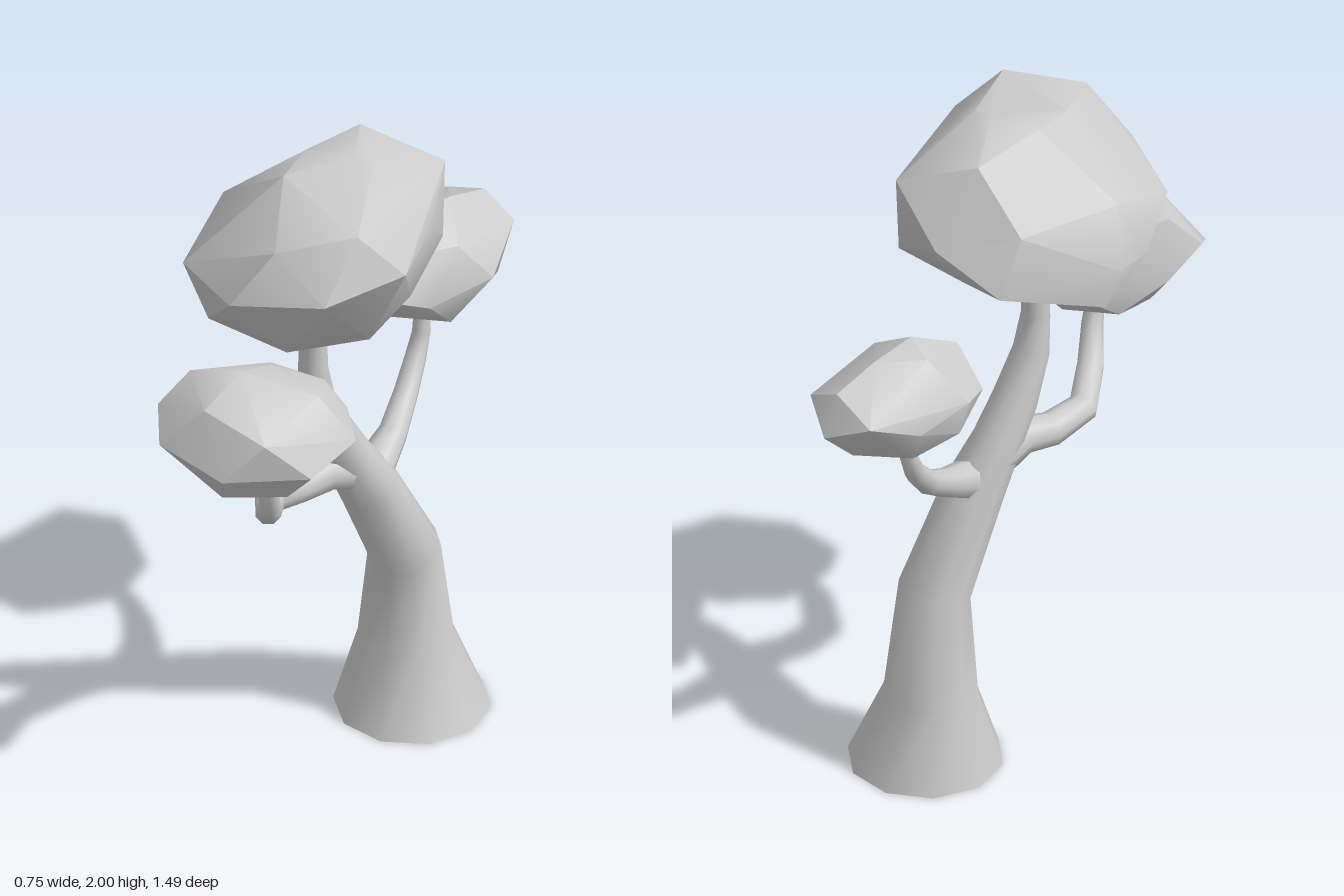
import * as THREE from 'three';
import { ConvexGeometry } from 'three/addons/geometries/ConvexGeometry.js';
import { toCreasedNormals } from 'three/addons/utils/BufferGeometryUtils.js';

const material = new THREE.MeshStandardMaterial({ color: 0xcccccc });
const barkMaterial = new THREE.MeshStandardMaterial({ color: 0xcccccc, side: THREE.DoubleSide });

// Open tapering limb: each station is [x, y, z, radius]; rings stand square to the path.
function limb(name, stations, sides, flatStart = false) {
  const centres = stations.map(([x, y, z]) => new THREE.Vector3(x, y, z));
  const positions = [], indices = [];
  stations.forEach(([, , , r], i) => {
    const t = centres[Math.min(i + 1, centres.length - 1)].clone()
      .sub(centres[Math.max(i - 1, 0)]).normalize();
    if (flatStart && i === 0) t.set(0, 1, 0);
    const u = new THREE.Vector3(1, 0, 0).addScaledVector(t, -t.x).normalize();
    const v = new THREE.Vector3().crossVectors(u, t);
    for (let j = 0; j < sides; j++) {
      const a = (j / sides) * Math.PI * 2;
      const p = centres[i].clone().addScaledVector(u, r * Math.cos(a)).addScaledVector(v, r * Math.sin(a));
      positions.push(p.x, p.y, p.z);
      if (i > 0) {
        const k = (j + 1) % sides, lo = (i - 1) * sides, hi = i * sides;
        indices.push(lo + j, hi + j, lo + k, lo + k, hi + j, hi + k);
      }
    }
  });
  const geometry = new THREE.BufferGeometry();
  geometry.setAttribute('position', new THREE.Float32BufferAttribute(positions, 3));
  geometry.setIndex(indices);
  geometry.computeVertexNormals();
  const mesh = new THREE.Mesh(geometry, barkMaterial);
  mesh.name = name;
  return mesh;
}

// Faceted leaf clump: the hull of a few corner points, with only sharp edges creased.
function clump(name, points) {
  const hull = new ConvexGeometry(points.map((p) => new THREE.Vector3(...p)));
  const mesh = new THREE.Mesh(toCreasedNormals(hull, 0.62), material);
  mesh.name = name;
  return mesh;
}

export function createModel() {
  const tree = new THREE.Group();
  tree.name = 'tree';

  // Leaning trunk, flared and open at the foot
  tree.add(limb('trunk', [
    [0.015, 0, -0.242, 0.222], [-0.007, 0.235, -0.24, 0.135], [0.018, 0.54, -0.205, 0.104],
    [0.012, 0.82, -0.06, 0.088], [0, 0.95, 0.015, 0.072], [-0.005, 1.06, 0.075, 0.066],
    [-0.005, 1.2, 0.138, 0.053], [-0.01, 1.32, 0.15, 0.042], [-0.01, 1.5, 0.148, 0.037],
  ], 10, true));

  // Branches
  tree.add(limb('frontBranch', [
    [0, 0.91, -0.01, 0.075], [-0.01, 0.935, 0.1, 0.056], [-0.03, 0.925, 0.19, 0.05],
    [-0.03, 0.945, 0.31, 0.045], [0.06, 0.995, 0.42, 0.039], [0.125, 1.07, 0.485, 0.031],
    [0.125, 1.2, 0.505, 0.025],
  ], 8));
  tree.add(limb('backBranch', [
    [0.01, 0.83, -0.04, 0.07], [0, 0.875, -0.12, 0.055], [-0.02, 0.91, -0.2, 0.043],
    [-0.06, 0.975, -0.3, 0.036], [-0.085, 1.05, -0.37, 0.031], [-0.09, 1.12, -0.4, 0.026],
    [-0.09, 1.21, -0.405, 0.023],
  ], 8));

  // Leaf clumps
  tree.add(clump('crown', [
    [0.37, 1.81, 0.19], [0.02, 1.73, 0.54], [0.27, 1.63, 0.055], [0.27, 1.94, 0.28],
    [0.27, 1.77, 0.42], [0.11, 1.9, 0.45], [-0.11, 1.6, 0.48], [-0.24, 1.71, 0.44],
    [-0.375, 1.64, 0.14], [-0.36, 1.53, 0.1], [-0.33, 1.62, 0.28], [-0.3, 1.8, 0.2],
    [0, 1.44, 0.25], [0.05, 1.44, 0.08], [-0.1, 1.45, 0.2], [0.2, 1.5, 0.15],
    [-0.08, 1.75, -0.29], [0.13, 1.87, -0.25], [0.14, 1.63, -0.23], [-0.25, 1.63, -0.2],
    [0.26, 1.8, -0.04], [-0.25, 1.8, -0.12], [0, 1.52, -0.1], [-0.08, 1.96, -0.13],
    [0.05, 2, 0.04], [-0.08, 1.99, 0.1], [-0.05, 1.98, 0.23], [0.11, 1.99, 0.03],
    [0.05, 1.48, 0.33],
  ]));
  tree.add(clump('frontClump', [
    [0.055, 1.52, 0.53], [0.245, 1.465, 0.42], [0.2, 1.46, 0.34], [0.2, 1.32, 0.245],
    [0.335, 1.325, 0.36], [0.325, 1.28, 0.54], [0.2, 1.145, 0.5], [0.12, 1.135, 0.47],
    [0.1, 1.19, 0.35], [0.01, 1.16, 0.6], [-0.14, 1.32, 0.53], [-0.14, 1.39, 0.66],
    [-0.06, 1.33, 0.745], [0.16, 1.29, 0.73], [-0.09, 1.485, 0.58], [0.05, 1.46, 0.68],
    [0, 1.3, 0.3], [0, 1.43, 0.34], [0.24, 1.4, 0.64], [0.1, 1.18, 0.66],
    [-0.06, 1.22, 0.42], [0.08, 1.5, 0.43],
  ]));
  tree.add(clump('backClump', [
    [-0.24, 1.4, -0.68], [-0.12, 1.345, -0.745], [0.01, 1.4, -0.68], [-0.1, 1.455, -0.68],
    [0.09, 1.33, -0.5], [0.03, 1.3, -0.3], [-0.2, 1.32, -0.22], [-0.285, 1.37, -0.35],
    [-0.28, 1.28, -0.38], [-0.275, 1.33, -0.52], [-0.1, 1.525, -0.4], [-0.19, 1.5, -0.42],
    [-0.1, 1.5, -0.54], [-0.1, 1.43, -0.225], [-0.02, 1.345, -0.2], [-0.08, 1.155, -0.47],
    [-0.16, 1.18, -0.32], [0.02, 1.2, -0.4], [-0.1, 1.225, -0.62], [0.03, 1.45, -0.42],
    [-0.22, 1.22, -0.5], [0.02, 1.27, -0.6],
  ]));
  return tree;
}
